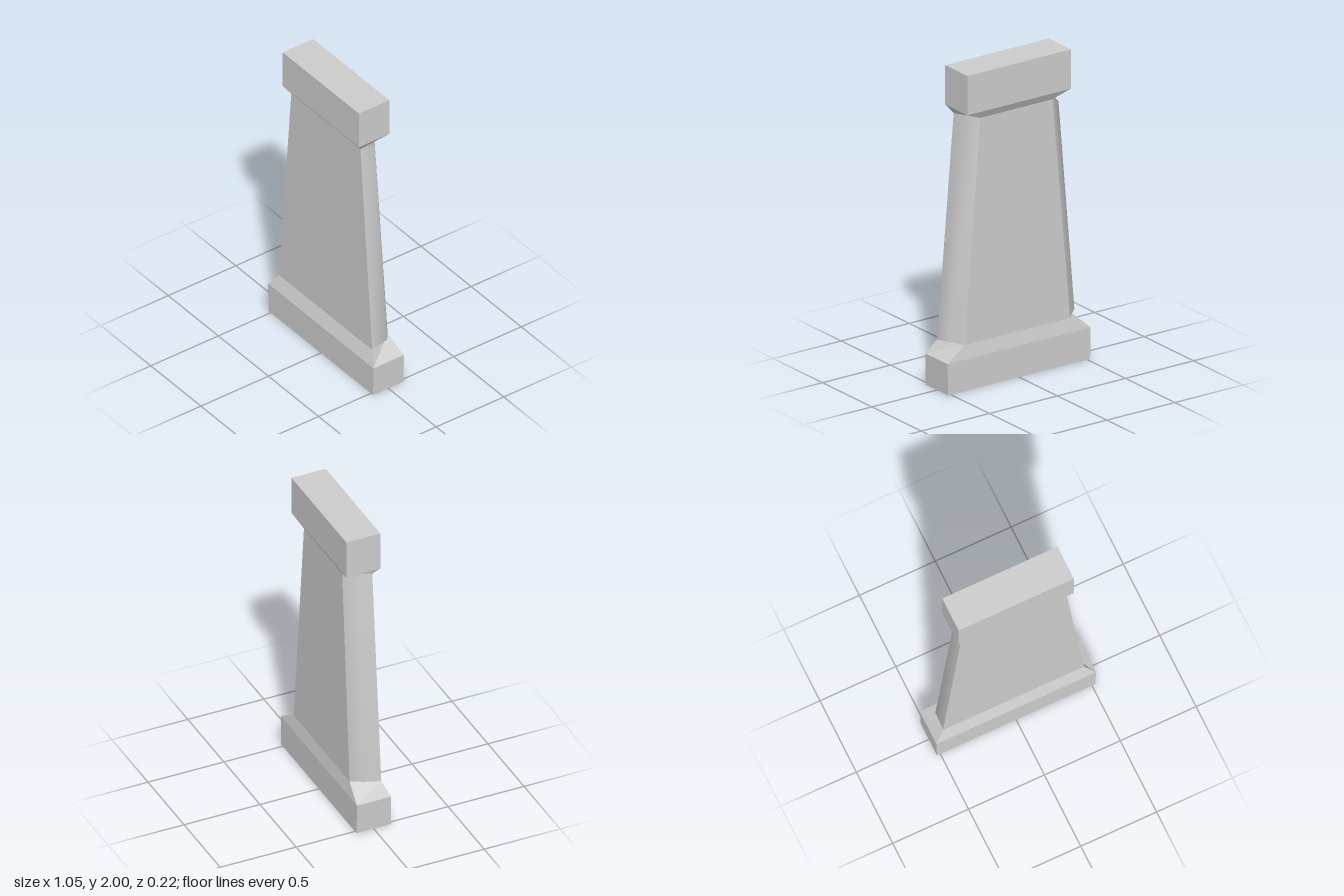
import * as THREE from 'three';

const grey = new THREE.MeshStandardMaterial({ color: 0xcccccc });

// Horizontal four-cornered ring: half widths at front and back, z of front and back
const ring = (y, xf, xb, zf, zb) => [[-xf, y, zf], [xf, y, zf], [xb, y, zb], [-xb, y, zb]];

function meshFrom(name, points, index, smooth) {
  let g = new THREE.BufferGeometry();
  g.setAttribute('position', new THREE.Float32BufferAttribute(points.flat(), 3));
  g.setIndex(index);
  if (!smooth) g = g.toNonIndexed();
  g.computeVertexNormals();
  const mesh = new THREE.Mesh(g, grey);
  mesh.name = name;
  return mesh;
}

// Flat walls between two rings; optional floor and lid
function loft(name, low, high, { sides = [0, 1, 2, 3], floor = false, lid = false } = {}) {
  const index = [];
  for (const i of sides) {
    const j = (i + 1) % 4;
    index.push(i, j, 4 + j, i, 4 + j, 4 + i);
  }
  if (floor) index.push(0, 2, 1, 0, 3, 2);
  if (lid) index.push(4, 5, 6, 4, 6, 7);
  return meshFrom(name, [...low, ...high], index, false);
}

// Smoothly rounded end of the shaft, bulging between its front and back corners
function shaftSide(name, s) {
  const points = [
    [0.465, 0.285, 0.077], [0.462, 0.31, -0.035], [0.387, 0.285, -0.095],
    [0.345, 1.7, 0.075], [0.349, 1.65, -0.03], [0.265, 1.7, -0.085],
  ].map(([x, y, z]) => [s * x, y, z]);
  const index = [0, 1, 4, 0, 4, 3, 1, 2, 5, 1, 5, 4, 0, 2, 1, 3, 4, 5];
  return meshFrom(name, points, s > 0 ? index : index.reverse(), true);
}

export function createModel() {
  const model = new THREE.Group();
  model.name = 'pillar';
  const d = 0.1125;
  const foot = ring(0, 0.522, 0.522, d, -d);
  const plinthTop = ring(0.2, 0.526, 0.526, d, -d);
  const shaftLow = ring(0.285, 0.465, 0.387, 0.077, -0.095);
  const shaftHigh = ring(1.7, 0.345, 0.265, 0.075, -0.085);
  const capLow = ring(1.75, 0.38, 0.38, d, -d);
  const capTop = ring(2, 0.38, 0.38, d, -d);

  model.add(
    loft('plinth', foot, plinthTop, { floor: true }),
    loft('plinthBevel', plinthTop, shaftLow),
    loft('shaftFrontAndBack', shaftLow, shaftHigh, { sides: [0, 2] }),
    shaftSide('shaftLeftSide', 1),
    shaftSide('shaftRightSide', -1),
    loft('capBevel', shaftHigh, capLow),
    loft('cap', capLow, capTop, { lid: true }),
  );
  return model;
}
